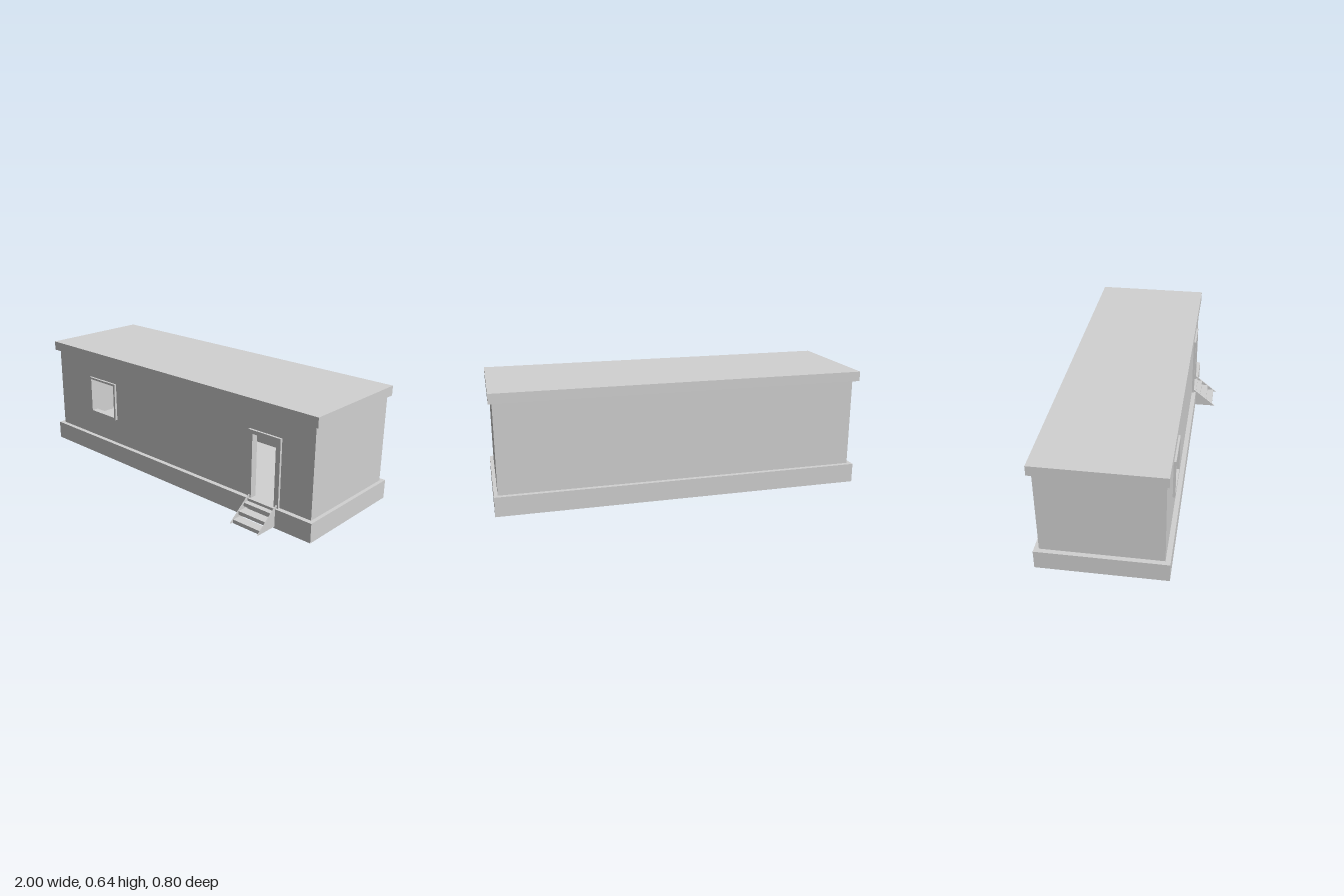
import * as THREE from 'three';

export function createModel() {
  const model = new THREE.Group();
  const grey = new THREE.MeshStandardMaterial({ color: 0xd1d1d1 });
  grey.name = 'light grey';

  const add = (name, geometry) => {
    const mesh = new THREE.Mesh(geometry, grey);
    mesh.name = name;
    model.add(mesh);
    return mesh;
  };

  // Box given by its lower and upper limits on each axis
  const box = (name, x0, x1, y0, y1, z0, z1) => {
    const mesh = add(name, new THREE.BoxGeometry(x1 - x0, y1 - y0, z1 - z0));
    mesh.position.set((x0 + x1) / 2, (y0 + y1) / 2, (z0 + z1) / 2);
  };

  const outline = (points, Type = THREE.Shape) => new Type(points.map(p => new THREE.Vector2(...p)));
  const rect = (x0, x1, y0, y1, Type) => outline([[x0, y0], [x1, y0], [x1, y1], [x0, y1]], Type);

  // Upright plate in the xy plane, from z0 to z1
  const plate = (name, shape, z0, z1) => {
    add(name, new THREE.ExtrudeGeometry(shape, { depth: z1 - z0, bevelEnabled: false })).position.z = z0;
  };

  // Plinth and roof slab
  box('plinth', -0.99, 1, 0, 0.105, -0.4, 0.275);
  box('roof', -1, 0.998, 0.585, 0.638, -0.39, 0.263);

  // Hollow room: three plain walls and a front wall with openings
  const t = 0.025, front = 0.249, back = -0.375;
  box('backWall', -0.965, 0.98, 0.105, 0.585, back, back + t);
  box('rightWall', -0.965, -0.965 + t, 0.105, 0.585, back + t, front - t);
  box('leftWall', 0.98 - t, 0.98, 0.105, 0.585, back + t, front - t);

  const windowHole = rect(-0.652, -0.448, 0.266, 0.464, THREE.Path);
  const doorway = [[0.616, 0.105], [0.616, 0.455], [0.763, 0.455], [0.763, 0.105]];
  const frontWall = outline([
    [-0.965, 0.105], ...doorway, [0.98, 0.105], [0.98, 0.585], [-0.965, 0.585],
  ]);
  frontWall.holes.push(windowHole);
  plate('frontWall', frontWall, front - t, front);

  // Raised surrounds of the window and door
  const windowFrame = rect(-0.665, -0.435, 0.254, 0.476);
  windowFrame.holes.push(windowHole);
  plate('windowFrame', windowFrame, front, 0.262);
  plate('doorFrame', outline([
    [0.59, 0.105], ...doorway, [0.79, 0.105], [0.79, 0.475], [0.59, 0.475],
  ]), front, 0.262);

  // Entrance steps: two triangular side plates with open treads between
  const side = outline([[-0.402, 0.009], [-0.262, 0.009], [-0.262, 0.122]]);
  for (const x of [0.6, 0.776]) {
    const stringer = add('stepSide', new THREE.ExtrudeGeometry(side, { depth: 0.007, bevelEnabled: false }));
    stringer.rotation.y = Math.PI / 2;
    stringer.position.x = x;
  }
  for (let i = 0; i < 3; i++) {
    const y = 0.005 + i * 0.033, z = 0.385 - i * 0.04;
    box('tread', 0.607, 0.776, y, y + 0.02, z - 0.053, z);
  }
  return model;
}
